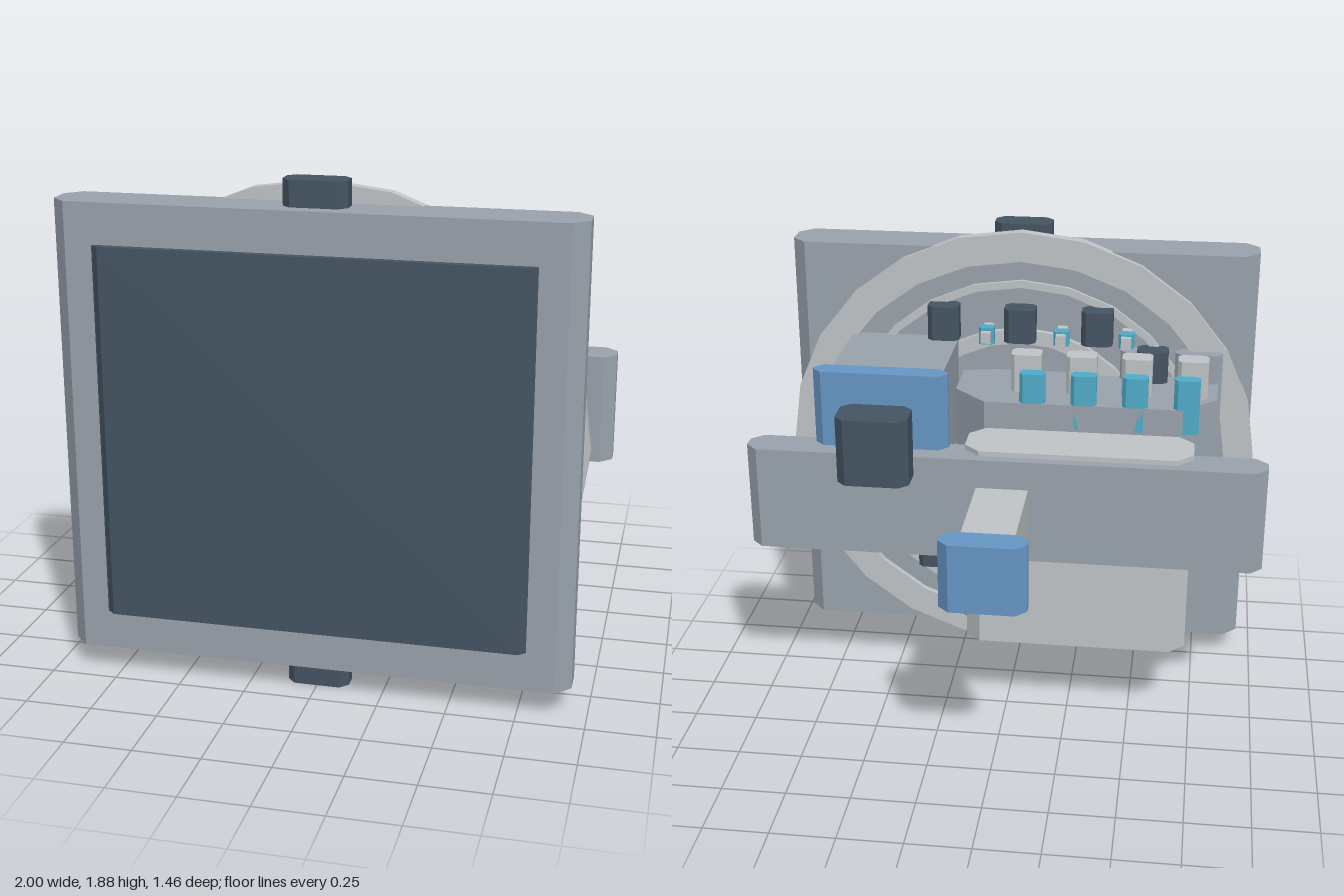
import * as THREE from 'three';

const mat = (name, color) => {
  const m = new THREE.MeshStandardMaterial({ color });
  m.name = name;
  return m;
};

export function createModel() {
  const model = new THREE.Group();
  const grey = mat('grey', 0x9aa3ad);
  const light = mat('lightGrey', 0xc1c5c7);
  const dark = mat('darkSlate', 0x455563);
  const blue = mat('blue', 0x6797c6);
  const teal = mat('teal', 0x50adca);

  const add = (name, geometry, material) => {
    const mesh = new THREE.Mesh(geometry, material);
    mesh.name = name;
    model.add(mesh);
    return mesh;
  };

  // Upright block with cut vertical corners, given by its limits
  const block = (name, material, [x0, x1], [y0, y1], [z0, z1], cx = 0, cz = cx, cf = cz) => {
    if (!cx) {
      const g = new THREE.BoxGeometry(x1 - x0, y1 - y0, z1 - z0);
      return add(name, g.translate((x0 + x1) / 2, (y0 + y1) / 2, (z0 + z1) / 2), material);
    }
    const s = new THREE.Shape([
      [x0 + cx, -z1], [x1 - cx, -z1], [x1, -z1 + cf], [x1, -z0 - cz],
      [x1 - cx, -z0], [x0 + cx, -z0], [x0, -z0 - cz], [x0, -z1 + cf],
    ].map(([x, y]) => new THREE.Vector2(x, y)));
    const g = new THREE.ExtrudeGeometry(s, { depth: y1 - y0, bevelEnabled: false });
    return add(name, g.rotateX(-Math.PI / 2).translate(0, y0, 0), material);
  };

  // Flat faceted ring around the centre of the panel
  const ring = (name, rx, ry, width, z0, z1) => {
    const loop = (a, b) => Array.from({ length: 24 }, (_, i) => {
      const t = (i / 24) * Math.PI * 2;
      return new THREE.Vector2(a * Math.cos(t), b * Math.sin(t));
    });
    const s = new THREE.Shape(loop(rx, ry));
    s.holes.push(new THREE.Path(loop(rx - width, ry - width)));
    const g = new THREE.ExtrudeGeometry(s, { depth: z1 - z0, bevelEnabled: false });
    return add(name, g.translate(0, 0.945, z0), light);
  };

  // Front panel
  block('panelFrame', grey, [-0.94, 0.94], [0.1, 1.79], [0.5, 0.7], 0.055);
  block('panelScreen', dark, [-0.78, 0.78], [0.25, 1.64], [0.69, 0.73], 0.025);
  block('topLatch', dark, [-0.115, 0.115], [1.77, 1.885], [0.525, 0.64], 0.03);
  block('bottomLatch', dark, [-0.115, 0.115], [0, 0.12], [0.525, 0.64], 0.03);

  // Rings on the back of the panel
  ring('outerRing', 0.96, 0.92, 0.12, 0.475, 0.52);
  ring('middleRing', 0.74, 0.72, 0.03, 0.485, 0.505);
  ring('innerRing', 0.54, 0.52, 0.06, 0.475, 0.505);

  // Machine housings
  block('mainHousing', grey, [-0.8, 0.235], [0.27, 1.28], [0.13, 0.5], 0.13, 0.13, 0.03);
  block('rearHousing', light, [-0.72, 0.155], [0.345, 1.17], [-0.105, 0.13], 0.06);
  block('upperHousing', grey, [0.255, 0.695], [1.0, 1.415], [0.0, 0.5], 0.04);
  block('housingPlate', blue, [0.22, 0.74], [0.97, 1.45], [-0.07, 0.015], 0.035);
  block('motor', dark, [0.34, 0.615], [1.075, 1.34], [-0.275, -0.105], 0.035);

  // Cross beam and handle
  block('crossBeam', grey, [-1, 1], [0.735, 1.15], [-0.145, 0.0], 0.045);
  block('handleArm', light, [-0.1, 0.1], [0.85, 1.035], [-0.63, -0.1]);
  block('handleKnob', blue, [-0.16, 0.16], [0.81, 1.075], [-0.725, -0.612], 0.04);

  // Two rows of posts on the main housing
  for (let i = 0; i < 4; i++) {
    const a = -0.7 + i * 0.218, b = -0.682 + i * 0.2;
    block('lightPost', light, [a - 0.06, a + 0.06], [1.2, 1.435], [0.248, 0.332], 0.015);
    block('tealPost', teal, [b - 0.05, b + 0.05], [1.18, 1.4], [0.13, 0.187], 0.015);
  }

  // Side plates between housing and panel
  for (const x of [-0.72, -0.5]) {
    block('sidePlate', grey, [x - 0.095, x + 0.095], [0.95, 1.4], [0.43, 0.5], 0.025);
  }

  // Dark blocks arranged around the rings
  for (const [x, y] of [
    [-0.535, 1.34], [-0.31, 1.495], [0, 1.495], [0.31, 1.495],
    [0.62, 0.945], [0.55, 0.66], [0.37, 0.465],
  ]) {
    block('terminal', dark, [x - 0.063, x + 0.063], [y - 0.07, y + 0.07], [0.408, 0.5], 0.02);
  }

  // Small teal valves with light tips
  for (const [x, y, h] of [
    [-0.43, 1.46, 0.03], [-0.17, 1.46, 0.03], [0.13, 1.46, 0.035],
    [0.59, 0.835, 0.045], [0.47, 0.58, 0.028],
  ]) {
    block('valve', teal, [x - 0.031, x + 0.031], [y - h, y + h], [0.385, 0.43], 0.01);
    block('valveTip', light, [x - 0.02, x + 0.02], [y - 0.022, y + 0.022], [0.358, 0.49]);
  }

  return model;
}
